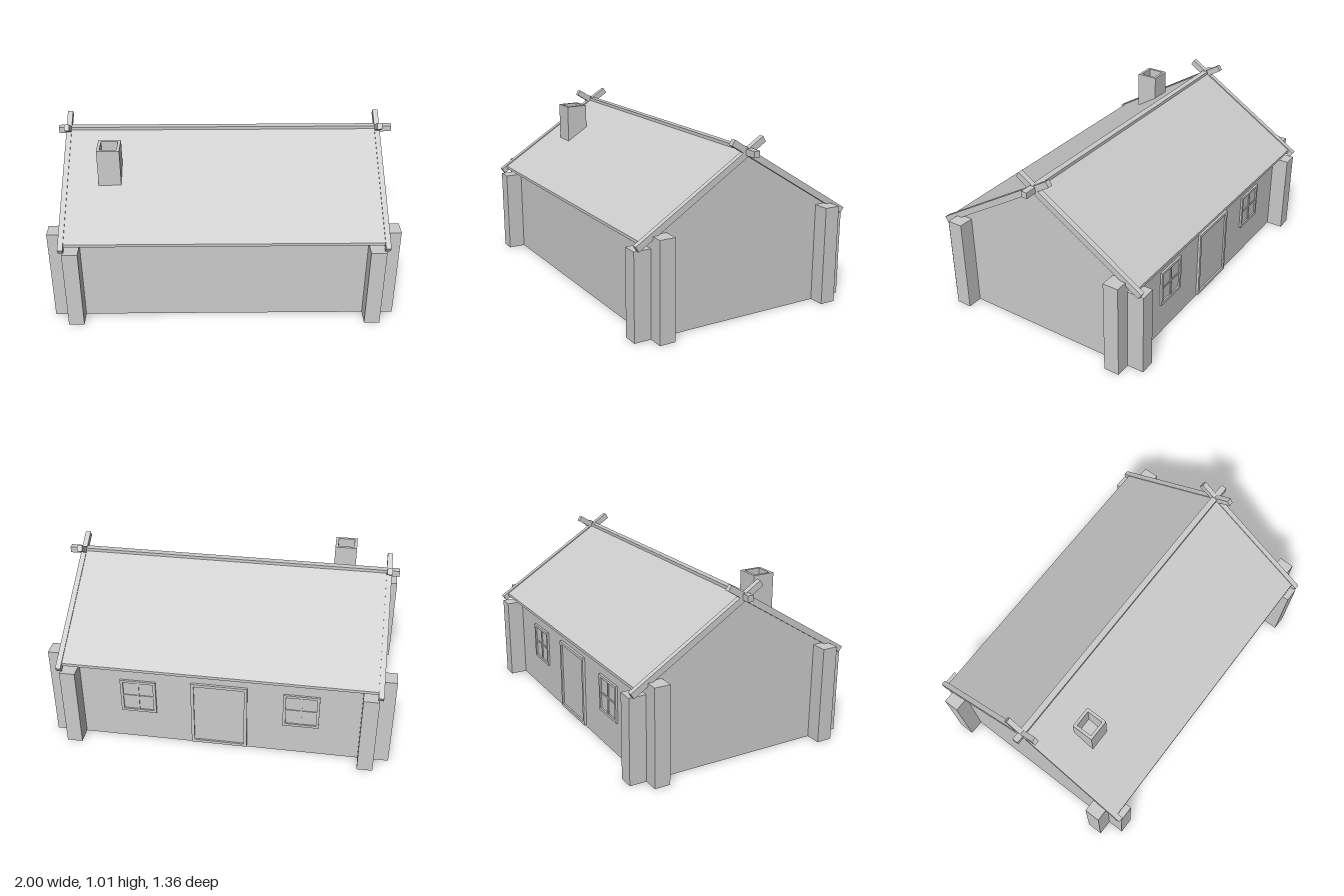
import * as THREE from 'three';

const material = new THREE.MeshStandardMaterial({ color: 0xcccccc, flatShading: true, side: THREE.DoubleSide });
const SLOPE = 0.623;
const WALL_X = 0.91, WALL_Z = 0.58;
const roofUnder = z => 0.93 - SLOPE * Math.abs(z);

export function createModel() {
  const house = new THREE.Group();
  house.name = 'logHouse';

  const add = (name, geometry, parent = house) => {
    const mesh = new THREE.Mesh(geometry, material);
    mesh.name = name;
    parent.add(mesh);
    return mesh;
  };
  // box given by its lower and upper limits
  const box = (name, x0, x1, y0, y1, z0, z1, parent) => {
    const mesh = add(name, new THREE.BoxGeometry(x1 - x0, y1 - y0, z1 - z0), parent);
    mesh.position.set((x0 + x1) / 2, (y0 + y1) / 2, (z0 + z1) / 2);
    return mesh;
  };
  const polygon = points => new THREE.Shape(points.map(p => new THREE.Vector2(...p)));
  const rectangle = (w, h) => polygon([[-w / 2, -h / 2], [w / 2, -h / 2], [w / 2, h / 2], [-w / 2, h / 2]]);
  const frame = (w, h, border, depth) => {
    const shape = rectangle(w, h);
    shape.holes.push(rectangle(w - 2 * border, h - 2 * border));
    return new THREE.ExtrudeGeometry(shape, { depth, bevelEnabled: false });
  };

  // thin walls, open underneath
  const eave = roofUnder(WALL_Z) - 0.003;
  const gable = polygon([[-WALL_Z, 0], [WALL_Z, 0], [WALL_Z, eave], [0, roofUnder(0) - 0.003], [-WALL_Z, eave]]);
  for (const side of [-1, 1]) {
    const end = add('gableWall', new THREE.ShapeGeometry(gable));
    end.rotation.y = side * Math.PI / 2;
    end.position.x = side * WALL_X;
    const long = add(side > 0 ? 'frontWall' : 'backWall', new THREE.PlaneGeometry(2 * WALL_X, eave));
    long.rotation.y = side > 0 ? 0 : Math.PI;
    long.position.set(0, eave / 2, side * WALL_Z);
  }

  // hollow corner posts without a bottom face
  const post = (name, w, h, d, x, z) => {
    const geometry = new THREE.BoxGeometry(w, h, d);
    const index = Array.from(geometry.index.array);
    index.splice(18, 6);
    geometry.setIndex(index);
    geometry.clearGroups();
    add(name, geometry).position.set(x, h / 2, z);
  };
  for (const sx of [-1, 1]) for (const sz of [-1, 1]) {
    post('longSidePost', 0.09, 0.5, 0.1, sx * 0.865, sz * 0.63);
    post('gablePost', 0.09, 0.57, 0.092, sx * 0.955, sz * 0.535);
  }

  // roof: one bent slab running along x
  const edge = 0.645, thick = 0.017;
  const chevron = polygon([
    [-edge, roofUnder(edge)], [0, roofUnder(0)], [edge, roofUnder(edge)],
    [edge, roofUnder(edge) + thick], [0, roofUnder(0) + thick], [-edge, roofUnder(edge) + thick],
  ]);
  const roof = new THREE.ExtrudeGeometry(chevron, { depth: 1.81, bevelEnabled: false });
  roof.translate(0, 0, -0.905).rotateY(-Math.PI / 2);
  add('roof', roof);

  // ridge pole and crossed gable boards
  box('ridgePole', -0.975, 1, 0.918, 0.954, -0.018, 0.018);
  for (const sx of [-1, 1]) for (const sz of [-1, 1]) {
    const board = add('gableBoard', new THREE.BoxGeometry(0.03, 0.036, 0.907));
    board.position.set(sx * 0.915, 0.755, sz * 0.2855);
    board.rotation.x = sz * Math.atan(SLOPE);
  }

  // hollow chimney, its foot cut to the roof slope
  const chimney = frame(0.13, 0.13, 0.017, 0.24);
  chimney.rotateX(-Math.PI / 2).translate(-0.655, 0.725, 0.265);
  const p = chimney.attributes.position;
  for (let i = 0; i < p.count; i++) {
    if (p.getY(i) < 0.8) p.setY(i, roofUnder(p.getZ(i)) + 0.005);
  }
  chimney.computeVertexNormals();
  add('chimney', chimney);

  // door on the back wall
  const door = new THREE.Group();
  door.name = 'door';
  house.add(door);
  const doorFrame = add('doorFrame', frame(0.33, 0.43, 0.018, 0.03), door);
  doorFrame.position.set(0, 0.225, -WALL_Z - 0.015);
  box('doorPanel', -0.15, 0.15, 0.025, 0.425, -WALL_Z - 0.005, -WALL_Z + 0.005, door);

  // two windows with crossed glazing bars
  for (const side of [-1, 1]) {
    const win = new THREE.Group();
    win.name = 'window';
    win.position.set(side * 0.478, 0.31, -WALL_Z);
    house.add(win);
    add('windowFrame', frame(0.21, 0.22, 0.016, 0.024), win).position.z = -0.012;
    box('windowPane', -0.095, 0.095, -0.1, 0.1, -0.003, 0.003, win);
    box('verticalBar', -0.005, 0.005, -0.1, 0.1, -0.009, 0.009, win);
    box('horizontalBar', -0.095, 0.095, -0.005, 0.005, -0.008, 0.008, win);
  }

  return house;
}
